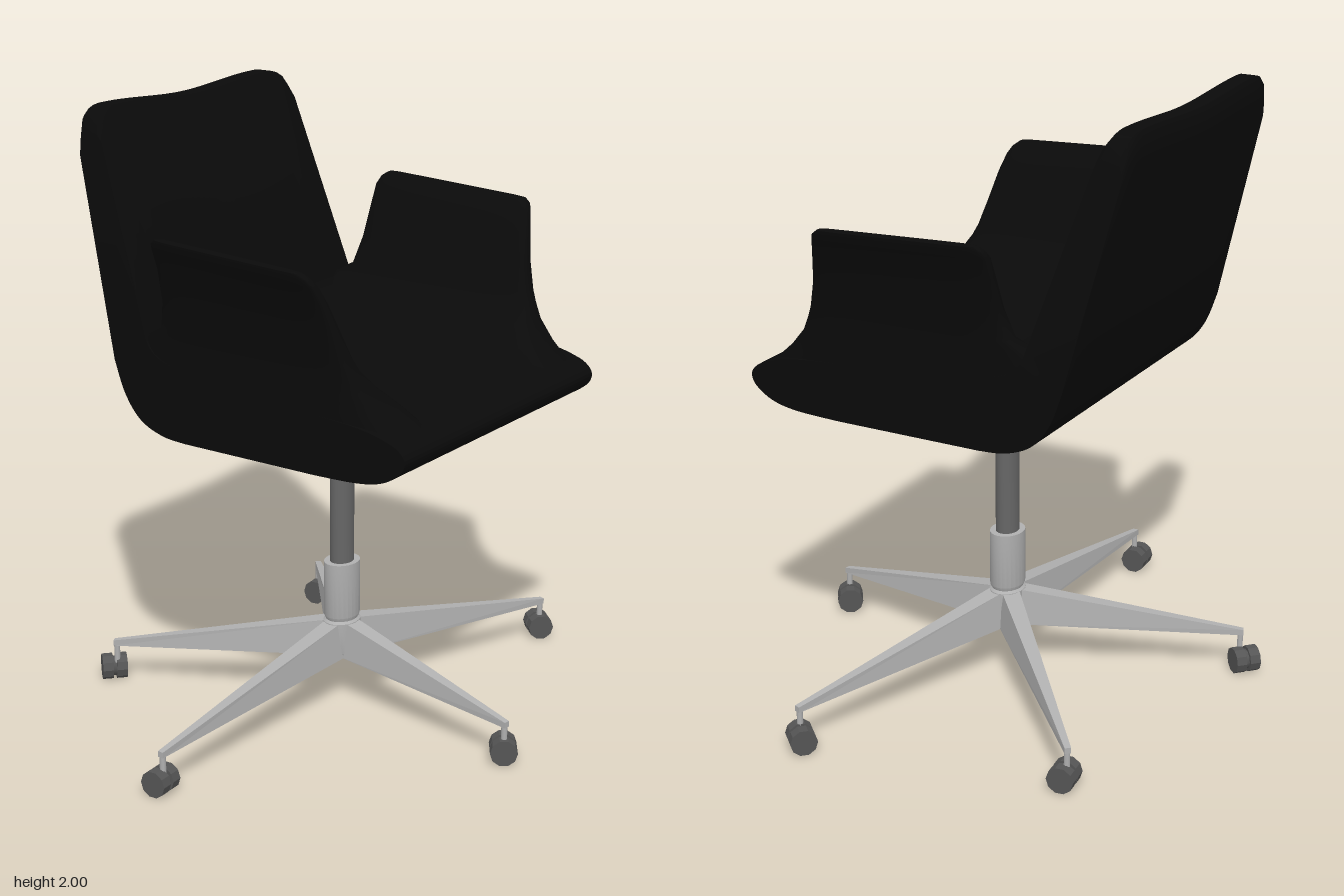
import * as THREE from 'three';
import { toCreasedNormals } from 'three/addons/utils/BufferGeometryUtils.js';

const CX = 0.027, CZ = 0.01;      // swivel axis
const HALF = 0.548;               // half width of the seat
const { lerp, smoothstep } = THREE.MathUtils;

const paint = (color) => new THREE.MeshStandardMaterial({ color, side: THREE.DoubleSide });
const black = paint(0x0a0a0a), steel = paint(0xb0b0b0), dark = paint(0x666666), rubber = paint(0x555555);

function add(parent, name, geometry, material) {
  const mesh = new THREE.Mesh(geometry, material);
  mesh.name = name;
  parent.add(mesh);
  return mesh;
}

// Seat and backrest: one side profile swept across the width, then shaped
function shellGeometry() {
  const v = (list) => list.map(([z, y]) => new THREE.Vector2(z, y));
  const shape = new THREE.Shape();
  shape.moveTo(-0.585, 2.0);
  shape.lineTo(-0.565, 1.975);
  shape.lineTo(-0.36, 1.36);
  shape.splineThru(v([[-0.33, 1.29], [-0.26, 1.25], [-0.1, 1.225], [0.2, 1.2], [0.45, 1.18], [0.56, 1.155],
    [0.605, 1.13], [0.619, 1.1], [0.6, 1.065], [0.54, 1.028], [0.45, 1.01], [0.3, 1.004]]));
  shape.lineTo(-0.2, 1.004);
  shape.splineThru(v([[-0.29, 1.013], [-0.375, 1.05], [-0.435, 1.125], [-0.475, 1.23]]));
  shape.lineTo(-0.648, 1.92);
  shape.lineTo(-0.648, 1.985);
  shape.lineTo(-0.64, 2.0);
  shape.closePath();
  const geo = new THREE.ExtrudeGeometry(shape, { depth: 2, steps: 40, bevelEnabled: false, curveSegments: 36 });
  geo.translate(0, 0, -1);
  const p = geo.attributes.position;
  for (let i = 0; i < p.count; i++) {
    const z = p.getX(i), y = p.getY(i), u = p.getZ(i);
    const t = Math.max(0, (y - 1.3) / 0.7);
    const edge = Math.max(0, (Math.abs(u) - 0.8) / 0.2);
    // top edge dips in the middle and rounds off at the corners
    const drop = t * (0.018 * (1 - smoothstep(Math.abs(u), 0, 0.75)) + 0.075 * (1 - Math.sqrt(1 - edge * edge)));
    const half = HALF - 0.05 * t;
    p.setXYZ(i, -u * half, y - drop, z + drop * 0.27);
  }
  return toCreasedNormals(geo, 0.6);
}

// Armrest: rounded slabs [y, back z, front z, outer x, inner x], stacked upward
function armrestGeometry(side) {
  const rows = [
    [1.12, -0.40, 0.600, 0.548, 0.30], [1.17, -0.42, 0.545, 0.549, 0.31], [1.21, -0.42, 0.500, 0.549, 0.335],
    [1.27, -0.40, 0.445, 0.550, 0.395], [1.325, -0.36, 0.415, 0.552, 0.45], [1.36, -0.295, 0.400, 0.556, 0.468],
    [1.45, -0.272, 0.375, 0.571, 0.500], [1.55, -0.264, 0.355, 0.597, 0.54], [1.61, -0.262, 0.338, 0.622, 0.568],
    [1.635, -0.253, 0.325, 0.637, 0.588], [1.649, -0.235, 0.305, 0.639, 0.603], [1.653, -0.21, 0.28, 0.626, 0.615],
  ];
  const N = 40, pos = [], index = [];
  const pow = (c, e) => Math.sign(c) * Math.abs(c) ** e;
  rows.forEach(([y, zb, zf, xo, xi], r) => {
    const slope = 0.048 * smoothstep(y, 1.4, 1.64);
    for (let k = 0; k < N; k++) {
      const a = (k / N) * Math.PI * 2;
      const z = lerp(zb, zf, 0.5 + 0.5 * pow(Math.cos(a), 0.4));
      const x = lerp(xi, xo, 0.5 + 0.5 * pow(Math.sin(a), 0.4));
      pos.push(side * x, y + slope * (0.04 - z), z);
      if (r === 0) continue;
      const b = r * N + k, c = r * N + ((k + 1) % N);
      const quad = [b - N, c - N, c, b - N, c, b];
      index.push(...(side > 0 ? quad : quad.reverse()));
    }
  });
  // close the top edge
  const top = (rows.length - 1) * N;
  for (let k = 1; k < N - 1; k++) {
    const tri = [top, top + k, top + k + 1];
    index.push(...(side > 0 ? tri : tri.reverse()));
  }
  const geo = new THREE.BufferGeometry();
  geo.setAttribute('position', new THREE.Float32BufferAttribute(pos, 3));
  geo.setIndex(index);
  return toCreasedNormals(geo, 0.9);
}

// Turned part from [radius, y] pairs
function turned(points, sides = 24) {
  const geo = new THREE.LatheGeometry(points.map(([r, y]) => new THREE.Vector2(r, y)), sides);
  return toCreasedNormals(geo, 0.5);
}

// Base leg: a box tapering in height and width toward the tip
function legGeometry(length) {
  const geo = new THREE.BoxGeometry(1, 1, 1).toNonIndexed();
  const p = geo.attributes.position;
  for (let i = 0; i < p.count; i++) {
    const t = p.getX(i) + 0.5, up = p.getY(i) > 0;
    const y = up ? lerp(0.29, 0.147, t) : lerp(0.165, 0.128, t);
    p.setXYZ(i, lerp(0.02, length, t), y, p.getZ(i) * lerp(up ? 0.06 : 0.085, 0.02, t));
  }
  geo.computeVertexNormals();
  return geo;
}

function caster(x, z, turn) {
  const group = new THREE.Group();
  group.name = 'caster';
  for (const s of [-1, 1]) {
    const wheel = add(group, 'wheel', toCreasedNormals(new THREE.CylinderGeometry(0.044, 0.044, 0.036, 10), 0.3), rubber);
    wheel.rotation.z = Math.PI / 2;
    wheel.position.x = s * 0.024;
  }
  const axle = add(group, 'axle', new THREE.CylinderGeometry(0.034, 0.034, 0.02, 10), rubber);
  axle.rotation.z = Math.PI / 2;
  group.position.set(x, 0.044, z);
  group.rotation.y = turn;
  return group;
}

export function createModel() {
  const model = new THREE.Group();
  model.name = 'officeChair';

  // Upholstered shell
  const shell = new THREE.Group();
  shell.name = 'shell';
  shell.position.x = CX;
  add(shell, 'seatAndBackrest', shellGeometry(), black);
  add(shell, 'leftArmrest', armrestGeometry(1), black);
  add(shell, 'rightArmrest', armrestGeometry(-1), black);
  model.add(shell);

  // Plate below the seat
  const plate = add(model, 'seatPlate', turned([[0, 0.987], [0.22, 0.988], [0.275, 0.997], [0.285, 1.006], [0, 1.006]], 32), dark);
  plate.position.set(CX, 0, CZ);

  // Column, slightly narrower front to back
  const column = new THREE.Group();
  column.name = 'column';
  column.position.set(CX, 0, CZ);
  column.scale.z = 0.83;
  add(column, 'collar', turned([[0.045, 0.885], [0.057, 0.885], [0.09, 0.915], [0.09, 0.99]]), dark);
  add(column, 'piston', turned([[0.045, 0.48], [0.045, 0.89]]), dark);
  add(column, 'sleeve', turned([[0.055, 0.28], [0.067, 0.305], [0.067, 0.493], [0.045, 0.493]]), steel);
  add(column, 'hub', turned([[0, 0.16], [0.06, 0.16], [0.07, 0.18], [0.07, 0.285], [0.055, 0.297], [0, 0.297]], 20), steel);
  model.add(column);

  // Five legs: [stem x, stem z, caster x, caster z, caster turn]
  const legs = [
    [-0.868, -0.025, -0.865, -0.038, 0.06], [-0.312, -0.69, -0.306, -0.71, -0.75], [0.664, -0.55, 0.658, -0.538, 0.12],
    [0.842, 0.297, 0.853, 0.286, 0.8], [-0.085, 0.715, -0.07, 0.704, 0.6],
  ];
  for (const [sx, sz, wx, wz, turn] of legs) {
    const dx = sx - CX, dz = sz - CZ;
    const leg = add(model, 'leg', legGeometry(Math.hypot(dx, dz) + 0.01), steel);
    leg.position.set(CX, 0, CZ);
    leg.rotation.y = -Math.atan2(dz, dx);
    const stem = add(model, 'casterStem', new THREE.CylinderGeometry(0.01, 0.01, 0.08, 8), steel);
    stem.position.set(sx, 0.1, sz);
    model.add(caster(wx, wz, turn));
  }
  return model;
}
